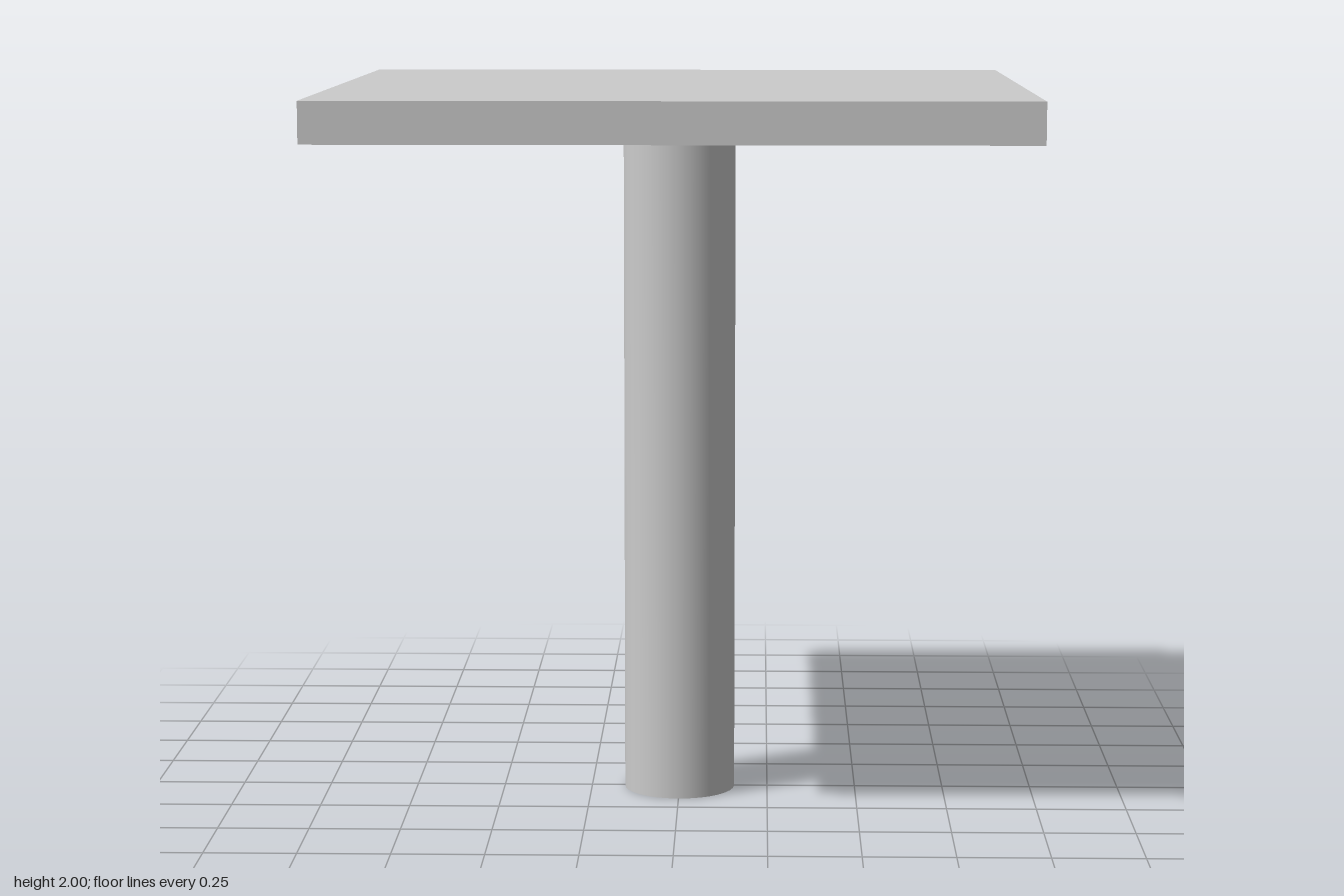
import * as THREE from 'three';

const HEIGHT = 2;
const TOP_WIDTH = 1.88;
const TOP_THICKNESS = 0.11;
const POST_RADIUS = 0.156;

export function createModel() {
  const group = new THREE.Group();
  group.name = 'pedestalTable';
  const material = new THREE.MeshStandardMaterial({ color: 0xcccccc });

  const add = (name, geometry, y) => {
    const mesh = new THREE.Mesh(geometry, material);
    mesh.name = name;
    mesh.position.y = y;
    group.add(mesh);
  };

  // Square slab on top
  add('tableTop', new THREE.BoxGeometry(TOP_WIDTH, TOP_THICKNESS, TOP_WIDTH), HEIGHT - TOP_THICKNESS / 2);

  // Round central post, reaching the underside of the slab
  const postHeight = HEIGHT - TOP_THICKNESS;
  add('post', new THREE.CylinderGeometry(POST_RADIUS, POST_RADIUS, postHeight, 32), postHeight / 2);

  return group;
}
